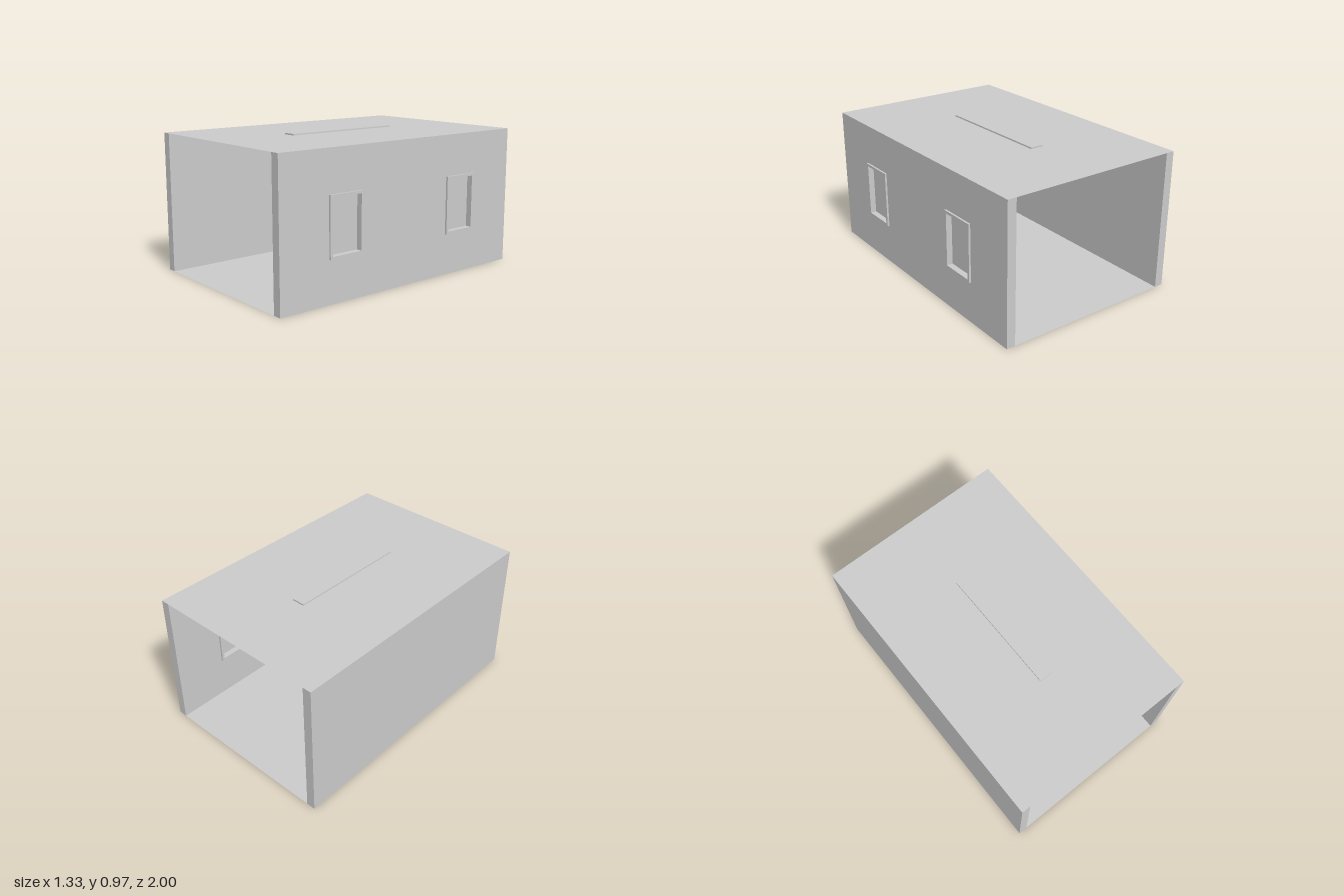
import * as THREE from 'three';

const material = new THREE.MeshStandardMaterial({ color: 0xcccccc, flatShading: true, side: THREE.DoubleSide });
const LENGTH = 2, HEIGHT = 0.96;
const LEFT = 0.651, RIGHT = -0.667, WALL = 0.062;
const MID = (LEFT + RIGHT) / 2;
const WINDOW = { w: 0.262, h: 0.396, y: 0.482, z: 0.504, border: 0.018, depth: 0.089 };
const LAMP = { x: -0.011, length: 0.87, bottom: 0.89, top: 0.97, cap: 0.008 };

function add(parent, name, geometry, x = 0, y = 0, z = 0) {
  const mesh = new THREE.Mesh(geometry, material);
  mesh.name = name;
  mesh.position.set(x, y, z);
  parent.add(mesh);
  return mesh;
}

// Closed rectangle centred on (x, y)
function rectangle(Type, x, y, w, h) {
  return new Type([[-1, -1], [1, -1], [1, 1], [-1, 1]]
    .map(([sx, sy]) => new THREE.Vector2(x + sx * w / 2, y + sy * h / 2)));
}

// Extrude a shape drawn in (z, y) along x, centred on x = 0
function extrudeAcross(shape, depth) {
  return new THREE.ExtrudeGeometry(shape, { depth, bevelEnabled: false })
    .translate(0, 0, -depth / 2).rotateY(-Math.PI / 2);
}

// Frame standing proud of both wall faces, with a pane in the middle
function createWindow(name) {
  const { w, h, border, depth } = WINDOW;
  const group = new THREE.Group();
  group.name = name;
  const shape = rectangle(THREE.Shape, 0, 0, w, h);
  shape.holes.push(rectangle(THREE.Path, 0, 0, w - 2 * border, h - 2 * border));
  add(group, 'windowFrame', extrudeAcross(shape, depth));
  add(group, 'windowPane', new THREE.BoxGeometry(0.006, h - 2 * border, w - 2 * border));
  return group;
}

// Ceiling lamp: tapered housing with a channel underneath, end caps and a tube
function createLamp() {
  const { length, bottom, top, cap } = LAMP;
  const h = top - bottom;
  const group = new THREE.Group();
  group.name = 'ceilingLamp';
  const outline = [[-0.051, 0], [-0.051, 0.012], [-0.046, h], [0.046, h], [0.051, 0.012], [0.051, 0]];
  const channel = [[0.04, 0], [0.03, 0.028], [-0.03, 0.028], [-0.04, 0]];
  const extrude = (points, depth) => new THREE.ExtrudeGeometry(
    new THREE.Shape(points.map(([x, y]) => new THREE.Vector2(x, y))),
    { depth, bevelEnabled: false }).translate(0, 0, -depth / 2);
  add(group, 'lampHousing', extrude([...outline, ...channel], length - 2 * cap));
  for (const s of [-1, 1]) add(group, 'lampEndCap', extrude(outline, cap), 0, 0, s * (length - cap) / 2);
  add(group, 'lampTube', new THREE.CylinderGeometry(0.011, 0.011, length - 2 * cap, 12).rotateX(Math.PI / 2), 0, 0.015, 0);
  group.position.set(LAMP.x, bottom, 0);
  return group;
}

export function createModel() {
  const room = new THREE.Group();
  room.name = 'room';

  // Floor and ceiling sheets; front and back stay open
  const sheet = new THREE.PlaneGeometry(LEFT - RIGHT, LENGTH).rotateX(-Math.PI / 2);
  add(room, 'floor', sheet, MID, 0, 0);
  add(room, 'ceiling', sheet, MID, HEIGHT, 0);

  // Solid right wall, left wall with two window openings
  add(room, 'rightWall', new THREE.BoxGeometry(WALL, HEIGHT, LENGTH), RIGHT + WALL / 2, HEIGHT / 2, 0);
  const wallX = LEFT - WALL / 2;
  const wall = rectangle(THREE.Shape, 0, HEIGHT / 2, LENGTH, HEIGHT);
  for (const s of [-1, 1]) {
    wall.holes.push(rectangle(THREE.Path, s * WINDOW.z, WINDOW.y, WINDOW.w, WINDOW.h));
    const win = createWindow(s > 0 ? 'frontWindow' : 'backWindow');
    win.position.set(wallX, WINDOW.y, s * WINDOW.z);
    room.add(win);
  }
  add(room, 'leftWall', extrudeAcross(wall, WALL), wallX, 0, 0);

  room.add(createLamp());
  return room;
}
